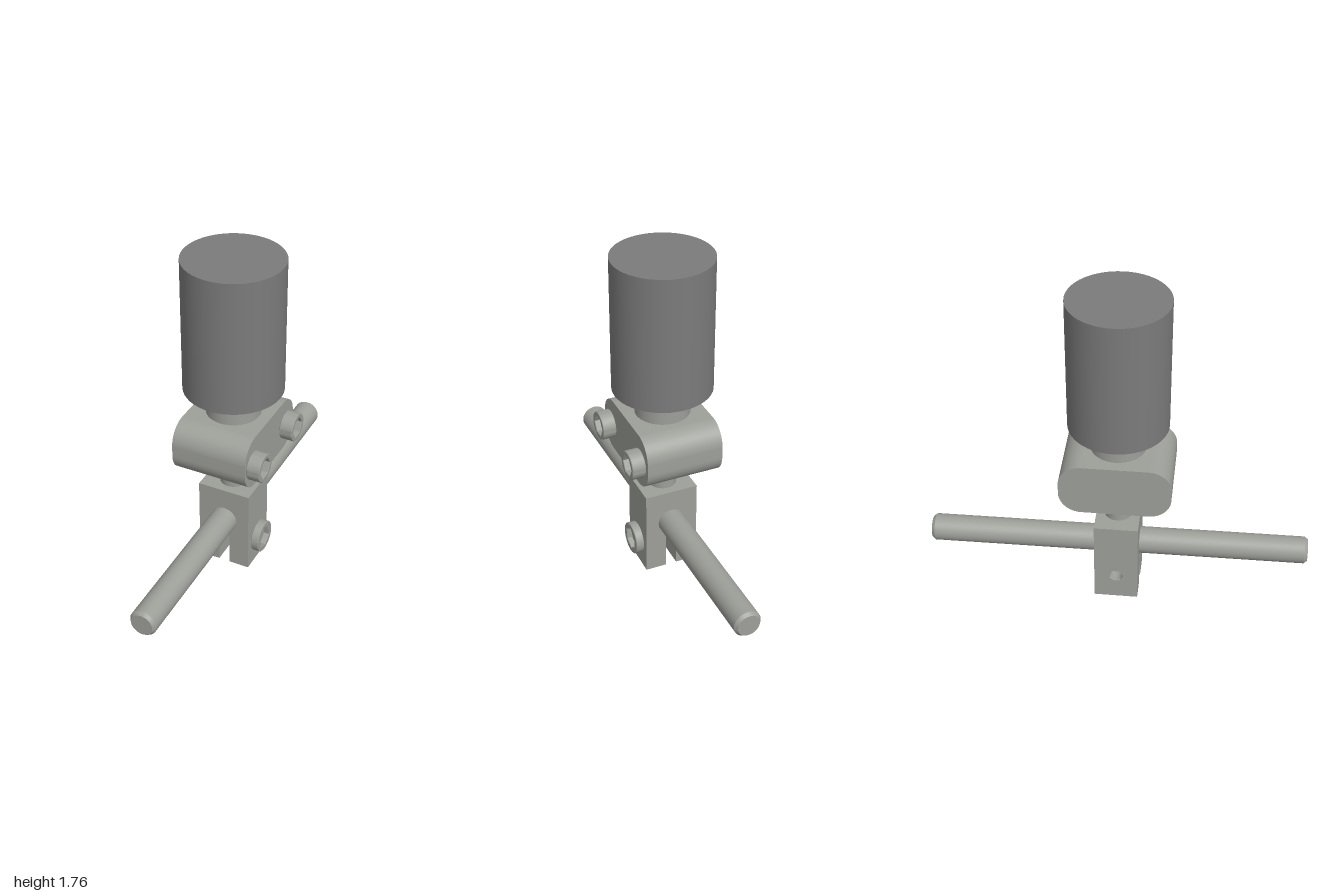
import * as THREE from 'three';
import { toCreasedNormals } from 'three/addons/utils/BufferGeometryUtils.js';

const CX = -0.008; // shared vertical axis of the stacked parts

export function createModel() {
  const group = new THREE.Group();
  const metal = new THREE.MeshStandardMaterial({ color: 0x9d9f99 });
  const metalOpen = new THREE.MeshStandardMaterial({ color: 0x9d9f99, side: THREE.DoubleSide });
  const darkGrey = new THREE.MeshStandardMaterial({ color: 0x7b7b7b });

  function add(name, geometry, x = 0, y = 0, z = 0, material = metal, parent = group) {
    const mesh = new THREE.Mesh(geometry, material);
    mesh.name = name;
    mesh.position.set(x, y, z);
    parent.add(mesh);
    return mesh;
  }

  // Upright cylinder on the main axis between two heights
  const post = (name, r, y0, y1, material) =>
    add(name, new THREE.CylinderGeometry(r, r, y1 - y0, 48), CX, (y0 + y1) / 2, 0, material);

  // Extrusion of a (z, y) profile along +x, with smooth curves and sharp edges
  function extrudeX(shape, depth, options = {}) {
    const g = new THREE.ExtrudeGeometry(shape, { depth, bevelEnabled: false, curveSegments: 24, ...options });
    return toCreasedNormals(g.rotateY(Math.PI / 2), 0.5);
  }

  // Socket-head screw pointing along x, head seated at the given x
  function screw(name, x, y, z, r, thick, hexR, turn) {
    const screwGroup = new THREE.Group();
    screwGroup.name = name;
    screwGroup.position.set(x, y, z);
    group.add(screwGroup);
    const b = 0.003;
    const ring = new THREE.Shape().absarc(0, 0, r, 0, Math.PI * 2, false);
    const hex = [];
    for (let i = 0; i < 6; i++) {
      const a = turn - (i * Math.PI) / 3;
      hex.push(new THREE.Vector2(Math.cos(a) * hexR, Math.sin(a) * hexR));
    }
    ring.holes.push(new THREE.Path(hex));
    const head = extrudeX(ring, thick - 2 * b, {
      bevelEnabled: true, bevelSize: b, bevelThickness: b, bevelOffset: -b, bevelSegments: 1,
    });
    add('screwHead', head, b, 0, 0, metal, screwGroup);
    const floor = new THREE.CylinderGeometry(hexR * 1.08, hexR * 1.08, 0.012, 24).rotateZ(Math.PI / 2);
    add('socketFloor', floor, 0.008, 0, 0, metal, screwGroup);
  }

  // Large head, collar and connecting stem
  post('headCylinder', 0.256, 1.052, 1.765, darkGrey);
  post('collar', 0.142, 0.9, 1.052, metal);
  post('stem', 0.071, 0.465, 0.63, metal);

  // Clamp body with rounded ends
  const w = 0.285, y0 = 0.625, y1 = 0.91, r = 0.115;
  const clamp = new THREE.Shape();
  clamp.absarc(w - r, y0 + r, r, -Math.PI / 2, 0, false);
  clamp.absarc(w - r, y1 - r, r, 0, Math.PI / 2, false);
  clamp.absarc(-w + r, y1 - r, r, Math.PI / 2, Math.PI, false);
  clamp.absarc(-w + r, y0 + r, r, Math.PI, Math.PI * 1.5, false);
  clamp.closePath();
  add('clampBody', extrudeX(clamp, 0.404), -0.21, 0, 0);
  for (const [name, z] of [['frontClampScrew', 0.2], ['backClampScrew', -0.19]]) {
    screw(name, 0.194, 0.763, z, 0.075, 0.071, 0.054, 0.05);
  }

  // Rod holder: one block with a round bore that opens into a slot below
  const left = 0.133, right = -0.153, top = 0.47, half = 0.115;
  const boreX = -0.008, boreY = 0.285, boreR = 0.071;
  const gap = Math.asin(0.03 / boreR);
  const holder = new THREE.Shape();
  holder.moveTo(right, 0);
  holder.lineTo(boreX - 0.03, 0);
  holder.absarc(boreX, boreY, boreR, -Math.PI / 2 - gap, -Math.PI / 2 + gap, true);
  holder.lineTo(boreX + 0.03, 0);
  holder.lineTo(left, 0);
  holder.lineTo(left, top);
  holder.lineTo(right, top);
  holder.closePath();
  const block = toCreasedNormals(
    new THREE.ExtrudeGeometry(holder, { depth: 2 * half, bevelEnabled: false, curveSegments: 40 }), 0.5);

  // Leave out the block's right face, so that a drilled one can take its place
  const p = block.attributes.position.array;
  const n = block.attributes.normal.array;
  const keptP = [], keptN = [];
  for (let i = 0; i < p.length; i += 9) {
    if (Math.max(p[i], p[i + 3], p[i + 6]) < right + 0.001) continue;
    keptP.push(...p.slice(i, i + 9));
    keptN.push(...n.slice(i, i + 9));
  }
  const openBlock = new THREE.BufferGeometry();
  openBlock.setAttribute('position', new THREE.Float32BufferAttribute(keptP, 3));
  openBlock.setAttribute('normal', new THREE.Float32BufferAttribute(keptN, 3));
  add('holderBlock', openBlock, 0, 0, -half);

  // Drilled right face and the wall of its screw hole
  const screwY = 0.145, holeR = 0.035;
  const face = new THREE.Shape([
    new THREE.Vector2(-half, 0), new THREE.Vector2(half, 0),
    new THREE.Vector2(half, top), new THREE.Vector2(-half, top),
  ]);
  face.holes.push(new THREE.Path().absarc(0, screwY, holeR, 0, Math.PI * 2, true));
  add('holderDrilledFace', new THREE.ShapeGeometry(face, 24).rotateY(-Math.PI / 2), right, 0, 0);
  const wall = new THREE.CylinderGeometry(holeR, holeR, 0.07, 32, 1, true).rotateZ(Math.PI / 2);
  add('screwHoleWall', wall, right + 0.035, screwY, 0, metalOpen);

  // Clamping screw across the slot
  screw('holderScrew', left, screwY, 0, 0.085, 0.043, 0.059, Math.PI / 2 + 0.1);
  const shaft = new THREE.CylinderGeometry(0.04, 0.04, 0.21, 32).rotateZ(Math.PI / 2);
  add('holderScrewShaft', shaft, 0.02, screwY, 0);

  // Cross rod with chamfered ends, very slightly skewed
  const profile = [[0, -1], [0.058, -1], [0.071, -0.983], [0.071, 0.983], [0.058, 1], [0, 1]]
    .map(([px, py]) => new THREE.Vector2(px, py));
  const rodGeo = toCreasedNormals(new THREE.LatheGeometry(profile, 40).rotateX(Math.PI / 2), 0.5);
  add('crossRod', rodGeo, boreX, boreY, 0).rotation.y = 0.007;

  return group;
}
